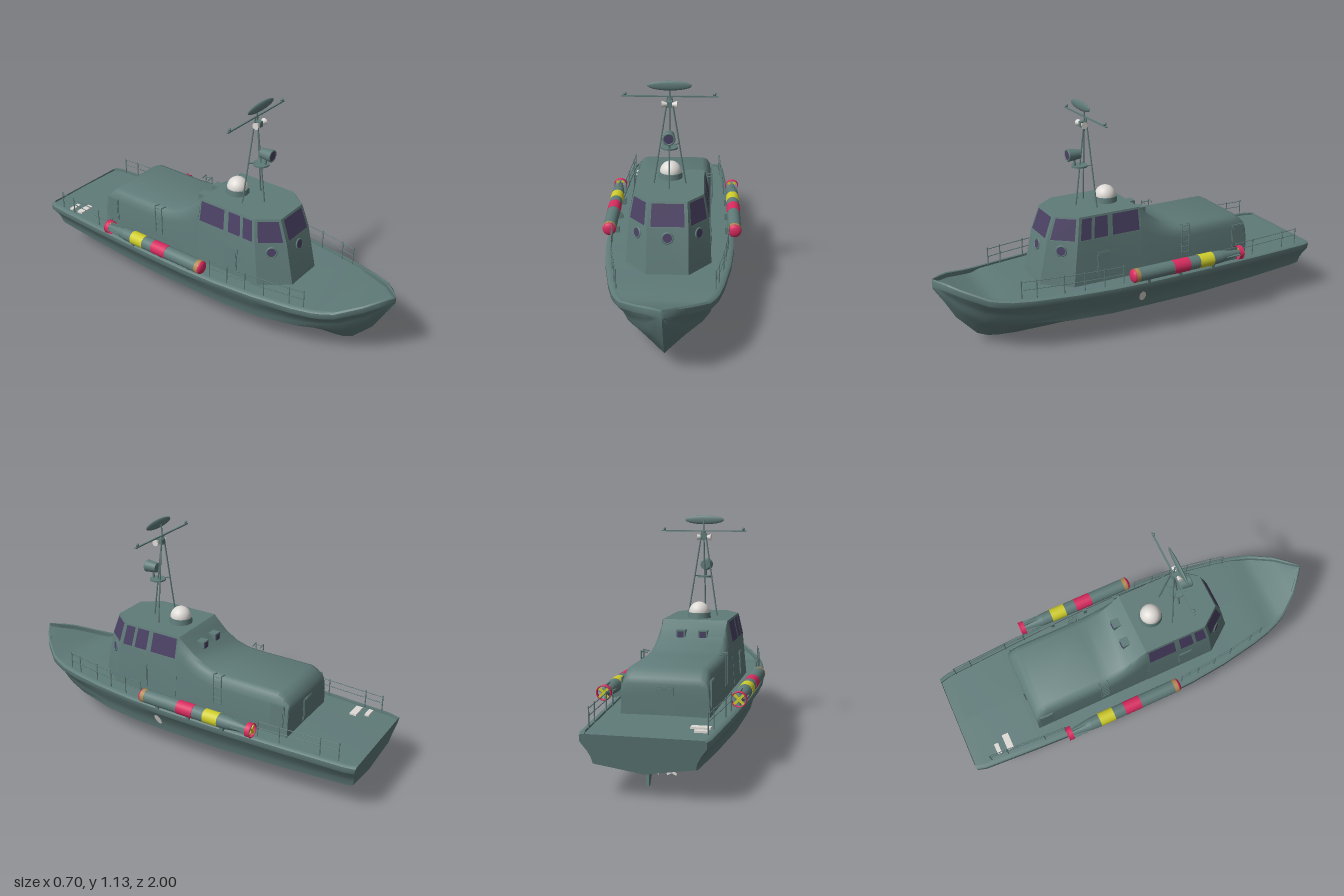
import * as THREE from 'three';
import { toCreasedNormals } from 'three/addons/utils/BufferGeometryUtils.js';

const mat = (name, color, side = THREE.FrontSide) => {
  const m = new THREE.MeshStandardMaterial({ color, side });
  m.name = name;
  return m;
};
const green = mat('sea green', 0x5f7b79, THREE.DoubleSide);
const glass = mat('purple glass', 0x4a4063, THREE.DoubleSide);
const white = mat('white', 0xdedad6, THREE.DoubleSide);
const pink = mat('pink', 0xd82c60, THREE.DoubleSide);
const yellow = mat('yellow', 0xcfcd2b, THREE.DoubleSide);
const tan = mat('tan', 0xb08a50);

const V = (x, y, z) => new THREE.Vector3(x, y, z);
const lerp = THREE.MathUtils.lerp;

function add(parent, name, geo, material, x = 0, y = 0, z = 0) {
  const m = new THREE.Mesh(geo, material);
  m.name = name;
  m.position.set(x, y, z);
  parent.add(m);
  return m;
}
function group(parent, name, x = 0, y = 0, z = 0) {
  const g = new THREE.Group();
  g.name = name;
  g.position.set(x, y, z);
  parent.add(g);
  return g;
}
function triangles(list, crease) {
  const g = new THREE.BufferGeometry().setFromPoints(list);
  g.computeVertexNormals();
  return crease ? toCreasedNormals(g, crease) : g;
}
const mirrorRing = half => [...half, ...half.slice().reverse().map(p => V(-p.x, p.y, p.z))];

// Skin between mirrored rings, closed by strips at both ends
function loft(rings, crease) {
  const out = [], n = rings[0].length;
  for (let k = 0; k + 1 < rings.length; k++)
    for (let i = 0; i < n; i++) {
      const j = (i + 1) % n, a = rings[k][i], b = rings[k][j], c = rings[k + 1][j], d = rings[k + 1][i];
      out.push(a, d, c, a, c, b);
    }
  const cap = (r, flip) => {
    for (let i = 0; i + 1 < n / 2; i++) {
      const a = r[i], b = r[i + 1], c = r[n - 2 - i], d = r[n - 1 - i];
      out.push(...(flip ? [a, c, b, a, d, c] : [a, b, c, a, c, d]));
    }
  };
  cap(rings[0], false);
  cap(rings[rings.length - 1], true);
  return triangles(out, crease);
}
function rod(parent, name, a, b, r = 0.003, material = green) {
  const m = add(parent, name, new THREE.CylinderGeometry(r, r, a.distanceTo(b), 6), material);
  m.position.copy(a).lerp(b, 0.5);
  m.quaternion.setFromUnitVectors(V(0, 1, 0), b.clone().sub(a).normalize());
}
// Flat pane on a four-cornered face, given as fractions of that face
function pane(parent, name, [a, b, c, d], u0, u1, v0, v1, lift, material) {
  const at = (u, v) => a.clone().lerp(b, u).lerp(d.clone().lerp(c, u), v);
  const n = b.clone().sub(a).cross(d.clone().sub(a)).normalize().multiplyScalar(lift);
  const q = [at(u0, v0), at(u1, v0), at(u1, v1), at(u0, v1)].map(p => p.add(n));
  add(parent, name, triangles([q[0], q[1], q[2], q[0], q[2], q[3]]), material);
}

// Hull stations: z, sheer half-width, sheer height, chine half-width, chine height, keel height
const stations = [
  [1, 0.004, 0.38, 0.002, 0.35, 0.33], [0.95, 0.07, 0.367, 0.032, 0.29, 0.25],
  [0.9, 0.125, 0.348, 0.068, 0.235, 0.16], [0.8, 0.2, 0.312, 0.125, 0.182, 0.05],
  [0.75, 0.222, 0.303, 0.148, 0.169, 0.027], [0.7, 0.24, 0.298, 0.168, 0.158, 0.016], [0.6, 0.264, 0.294, 0.2, 0.145, 0.006],
  [0.4, 0.298, 0.292, 0.24, 0.13, 0.001], [0.2, 0.317, 0.29, 0.255, 0.125, 0.003],
  [0, 0.322, 0.288, 0.258, 0.125, 0.012], [-0.22, 0.318, 0.286, 0.258, 0.125, 0.028],
  [-0.28, 0.316, 0.285, 0.257, 0.125, 0.066], [-0.65, 0.297, 0.28, 0.242, 0.133, 0.09],
  [-0.95, 0.278, 0.277, 0.222, 0.142, 0.107], [-1, 0.265, 0.275, 0.216, 0.145, 0.11],
];
function sheerWidth(z) {
  const i = stations.findIndex((s, k) => k > 0 && s[0] <= z);
  const a = stations[i - 1], b = stations[i];
  return lerp(a[1], b[1], (a[0] - z) / (a[0] - b[0]));
}
function hullRing([z, W, S, C, H, K]) {
  const side = (t, u) => [lerp(C, W, t), lerp(H, S - 0.04, u)];
  const inner = Math.max(W - 0.024, 0), deck = S - (z > 0.72 ? 0.022 : 0.01);
  const half = [[0, K], [C * 0.15, lerp(K, H, 0.16)], [C * 0.6, lerp(K, H, 0.62)], [C, H],
    side(0.12, 0.3), side(0.42, 0.62), side(0.93, 1), [W, S - 0.034], [W, S - 0.008],
    [Math.max(W - 0.01, 0), S], [inner, S], [inner, deck], [0, deck + 0.003]];
  // The transom rakes forward toward the bottom
  return mirrorRing(half.map(([x, y]) => V(x, y, z === -1 ? -1 + 0.035 * (1 - (y - 0.1) / 0.175) : z)));
}

function buildCabin(boat) {
  const cabin = group(boat, 'cabin');
  // Faceted wheelhouse: height, front half-width, front z, side half-width, side z
  const plan = [[0.615, 0.09, 0.42, 0.165, 0.3225], [0.5, 0.096, 0.462, 0.188, 0.3424], [0.27, 0.1, 0.51, 0.205, 0.3735]];
  const rings = plan.map(([y, fx, fz, sx, sz]) => mirrorRing([V(fx, y, fz), V(sx, y, sz), V(sx, y, 0)]));
  add(cabin, 'wheelhouse', loft(rings, 0.15), green);
  const face = (i, top = 0) => {
    const j = (i + 1) % 6;
    return [rings[top + 1][i], rings[top + 1][j], rings[top][j], rings[top][i]];
  };
  const windows = [[5, 0.09, 0.91], [0, 0.1, 0.9], [4, 0.1, 0.9]];
  for (const [a, b] of [[0.04, 0.2], [0.25, 0.46], [0.54, 0.97]]) windows.push([1, a, b], [3, 1 - b, 1 - a]);
  for (const [i, a, b] of windows) {
    pane(cabin, 'windowFrame', face(i), a - 0.02, b + 0.02, 0.01, 0.97, 0.002, green);
    pane(cabin, 'window', face(i), a, b, 0.05, 0.92, 0.004, glass);
  }
  // Portholes under the front windows
  for (const i of [5, 0, 4]) {
    const [a, b, c, d] = face(i, 1);
    const p = a.clone().lerp(b, 0.5).lerp(d.clone().lerp(c, 0.5), 0.8);
    const n = b.clone().sub(a).cross(d.clone().sub(a)).normalize();
    const hole = group(cabin, 'porthole', p.x, p.y, p.z);
    hole.lookAt(p.clone().add(n));
    add(hole, 'portholeRim', new THREE.TorusGeometry(0.024, 0.005, 8, 24), green);
    add(hole, 'portholeGlass', new THREE.CircleGeometry(0.021, 24), glass, 0, 0, 0.004);
  }
  // Aft deckhouse with a swept rise to the wheelhouse roof
  const aft = [[0, 0.615], [-0.04, 0.578], [-0.08, 0.543], [-0.13, 0.511], [-0.19, 0.488], [-0.25, 0.48],
    [-0.56, 0.48], [-0.59, 0.465], [-0.62, 0.437], [-0.625, 0.41]];
  add(cabin, 'deckhouse', loft(aft.map(([z, t]) => {
    const k = Math.max(0, (t - 0.48) / 0.135);
    return mirrorRing([V(0.203, 0.27, z), V(0.2 - 0.012 * k, t - 0.06 - 0.055 * k, z),
      V(0.194 - 0.012 * k, t - 0.03 - 0.04 * k, z), V(0.18 - 0.009 * k, t - 0.009 - 0.02 * k, z), V(0.155 + 0.01 * k, t, z)]);
  }), 0.7), green);
  for (const s of [1, -1]) {
    // Upright rear windows set into the slope
    add(cabin, 'rearWindowBox', new THREE.BoxGeometry(0.046, 0.046, 0.05), green, s * 0.055, 0.55, -0.062);
    add(cabin, 'rearWindow', new THREE.BoxGeometry(0.03, 0.03, 0.004), glass, s * 0.055, 0.552, -0.087);
    // Side doors and ladders
    for (const [px, z, tilt] of [[0.198, 0.21, 0.07], [0.2015, -0.57, 0.01]]) {
      add(cabin, 'doorFrame', new THREE.BoxGeometry(0.006, 0.122, 0.072), green, s * px, 0.372, z).rotation.z = s * tilt;
      add(cabin, 'door', new THREE.BoxGeometry(0.011, 0.112, 0.062), green, s * px, 0.372, z).rotation.z = s * tilt;
    }
    for (const z of [-0.225, -0.268]) {
      rod(cabin, 'ladderRail', V(s * 0.207, 0.34, z), V(s * 0.207, 0.495, z));
      rod(cabin, 'ladderHook', V(s * 0.207, 0.495, z), V(s * 0.175, 0.488, z));
    }
    for (let k = 0; k < 6; k++)
      rod(cabin, 'ladderRung', V(s * 0.207, 0.345 + k * 0.028, -0.225), V(s * 0.207, 0.345 + k * 0.028, -0.268), 0.0022);
  }
  add(cabin, 'rearDoorFrame', new THREE.BoxGeometry(0.078, 0.12, 0.006), green, 0, 0.34, -0.625);
  add(cabin, 'rearDoor', new THREE.BoxGeometry(0.068, 0.11, 0.011), green, 0, 0.34, -0.625);
  // Radome
  add(cabin, 'domeBase', new THREE.CylinderGeometry(0.056, 0.06, 0.03, 28), green, 0, 0.627, 0.1);
  add(cabin, 'dome', new THREE.SphereGeometry(0.053, 28, 12, 0, Math.PI * 2, 0, Math.PI / 2), white, 0, 0.643, 0.1);
}

function buildMast(boat) {
  const mast = group(boat, 'mast');
  for (const s of [1, -1]) {
    rod(mast, 'mastLeg', V(s * 0.077, 0.612, 0.185), V(s * 0.008, 1.055, 0.205), 0.004);
    rod(mast, 'mastBrace', V(s * 0.043, 0.822, 0.195), V(0, 0.815, 0.235), 0.003);
    add(mast, 'barLamp', new THREE.SphereGeometry(0.008, 10, 8), green, s * 0.208, 1.064, 0.205);
    const horn = add(mast, 'horn', new THREE.CylinderGeometry(0.017, 0.006, 0.028, 14), white, s * 0.022, 1.02, 0.225);
    horn.rotation.z = -s * Math.PI / 2;
  }
  rod(mast, 'mastLeg', V(0, 0.612, 0.262), V(0, 1.055, 0.207), 0.004);
  rod(mast, 'mastTop', V(0, 1.04, 0.206), V(0, 1.11, 0.212), 0.004);
  add(mast, 'crossbar', new THREE.BoxGeometry(0.45, 0.006, 0.008), green, 0, 1.053, 0.205);
  add(mast, 'hornMount', new THREE.BoxGeometry(0.022, 0.028, 0.035), green, 0, 1.02, 0.217);
  add(mast, 'lampPlatform', new THREE.CylinderGeometry(0.04, 0.04, 0.008, 20), green, 0, 0.815, 0.238);
  // Searchlight
  add(mast, 'searchlight', new THREE.CylinderGeometry(0.031, 0.024, 0.06, 24), green, 0, 0.875, 0.27).rotation.x = Math.PI / 2;
  add(mast, 'searchlightRim', new THREE.TorusGeometry(0.026, 0.005, 8, 24), green, 0, 0.875, 0.3);
  add(mast, 'searchlightLens', new THREE.CircleGeometry(0.023, 24), glass, 0, 0.875, 0.303);
  rod(mast, 'searchlightStand', V(0, 0.815, 0.262), V(0, 0.85, 0.266), 0.006);
  // Oval radar dish
  add(mast, 'radarDish', new THREE.SphereGeometry(1, 32, 12), green, 0, 1.11, 0.228).scale.set(0.103, 0.023, 0.009);
}

// Torpedo: banded body, tapered tail, ringed propeller
function buildTorpedo(model, s) {
  const t = group(model, s > 0 ? 'leftTorpedo' : 'rightTorpedo', s * 0.315, 0.333, 0);
  const bands = [[0.112, 0.09, 0.034, 0.034, tan], [0.09, -0.1, 0.034, 0.034, green], [-0.1, -0.19, 0.035, 0.035, pink],
    [-0.19, -0.25, 0.034, 0.034, green], [-0.25, -0.33, 0.035, 0.035, yellow], [-0.33, -0.38, 0.034, 0.032, green],
    [-0.38, -0.5, 0.032, 0.014, green]];
  for (const [z0, z1, r0, r1, m] of bands)
    add(t, 'torpedoBand', new THREE.CylinderGeometry(r0, r1, z0 - z1, 24), m, 0, 0, (z0 + z1) / 2).rotation.x = Math.PI / 2;
  const nose = add(t, 'torpedoNose', new THREE.SphereGeometry(0.034, 24, 8, 0, Math.PI * 2, 0, Math.PI / 2), pink, 0, 0, 0.112);
  nose.rotation.x = Math.PI / 2;
  nose.scale.y = 0.5;
  add(t, 'tailRing', new THREE.CylinderGeometry(0.035, 0.035, 0.025, 24, 1, true), pink, 0, 0, -0.494).rotation.x = Math.PI / 2;
  add(t, 'tailRingEdge', new THREE.TorusGeometry(0.034, 0.003, 6, 24), pink, 0, 0, -0.506);
  for (let k = 0; k < 2; k++) {
    add(t, 'tailFin', new THREE.BoxGeometry(0.066, 0.004, 0.08), green, 0, 0, -0.445).rotation.z = k * Math.PI / 2;
    add(t, 'tailBlade', new THREE.BoxGeometry(0.066, 0.012, 0.005), yellow, 0, 0, -0.502).rotation.z = (k + 0.5) * Math.PI / 2;
  }
  for (const z of [0.03, -0.15, -0.34])
    add(t, 'cradle', new THREE.BoxGeometry(0.05, 0.036, 0.018), green, -s * 0.02, -0.037, z);
}

function buildRailing(boat, zs, s, height) {
  const at = (z, h) => V(s * (sheerWidth(z) - 0.028), 0.285 + h, z);
  zs.forEach((z, i) => {
    rod(boat, 'railPost', at(z, -0.01), at(z, height));
    if (i) for (const h of [height * 0.52, height - 0.008]) rod(boat, 'railBar', at(zs[i - 1], h), at(z, h), 0.0022);
  });
}

export function createModel() {
  const model = new THREE.Group();
  model.name = 'patrolBoat';
  const boat = group(model, 'vessel', -0.006);
  add(boat, 'hull', loft(stations.map(hullRing), 0.75), green);
  buildCabin(boat);
  buildMast(boat);
  for (const s of [1, -1]) {
    buildTorpedo(model, s);
    buildRailing(boat, [0.65, 0.58, 0.45, 0.35, 0.25, 0.15], s, 0.1);
    buildRailing(boat, [-0.51, -0.62, -0.82, -0.91], s, 0.083);
  }
  // Propeller shafts and rudder
  for (const [x, color] of [[-0.075, white], [0, white], [0.075, yellow]]) {
    rod(boat, 'shaft', V(x, 0.095, -0.45), V(x, 0.078, -0.81), 0.0025, tan);
    for (let k = 0; k < 3; k++)
      add(boat, 'propellerBlade', new THREE.BoxGeometry(0.01, 0.028, 0.004).translate(0, 0.01, 0), color, x, 0.078, -0.805).rotation.z = k * Math.PI * 2 / 3;
  }
  const blade = new THREE.Shape([[0.84, 0.13], [0.91, 0.13], [0.92, 0.045], [0.895, 0.045]].map(p => new THREE.Vector2(...p)));
  add(boat, 'rudder', new THREE.ExtrudeGeometry(blade, { depth: 0.012, bevelEnabled: false }), green, -0.006).rotation.y = Math.PI / 2;
  // Small white plates on the hull side and aft deck
  const oval = add(boat, 'hullPlate', new THREE.CircleGeometry(1, 24), white, 0.291, 0.2, 0.047);
  oval.lookAt(1.291, -0.22, 0.047);
  oval.rotateZ(0.2);
  oval.scale.set(0.018, 0.032, 1);
  add(boat, 'deckPlate', new THREE.BoxGeometry(0.085, 0.009, 0.034), white, -0.2, 0.275, -0.8);
  add(boat, 'deckPlate', new THREE.BoxGeometry(0.06, 0.009, 0.022), white, -0.215, 0.275, -0.86);
  return model;
}
